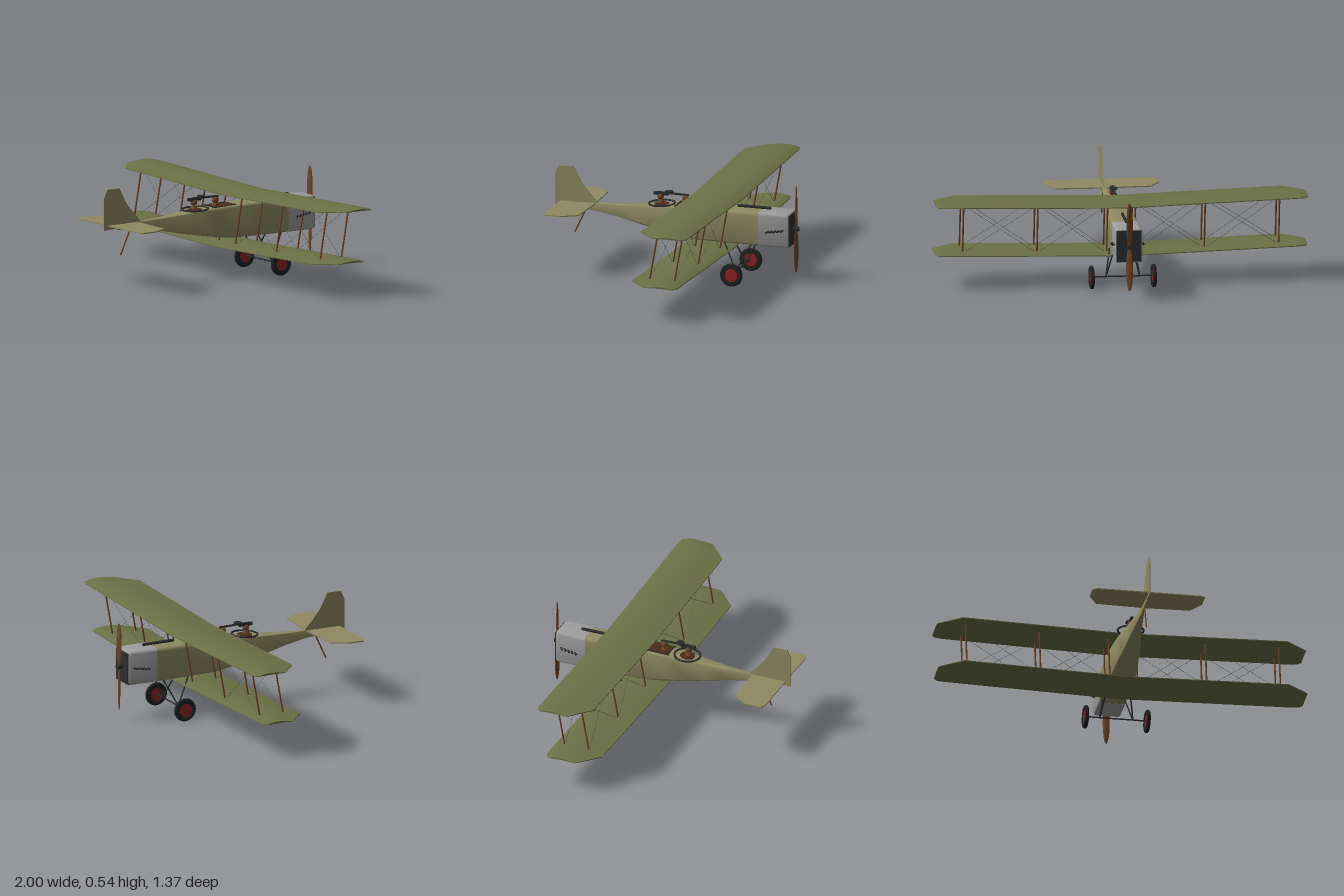
import * as THREE from 'three';
import { toCreasedNormals } from 'three/addons/utils/BufferGeometryUtils.js';

const paint = (color) => new THREE.MeshStandardMaterial({ color });
const MAT = {
  wing: paint(0x6b7146), fabric: paint(0x8f8a62), cowl: paint(0x9c9d9b), dark: paint(0x2b2d2e),
  wood: paint(0x6e4529), rubber: paint(0x1f2122), red: paint(0x8c2222), wire: paint(0x555555), pit: paint(0x4a2c1c),
};
const V = (x, y, z) => new THREE.Vector3(x, y, z);

export function createModel() {
  const model = new THREE.Group();
  const add = (name, geo, mat, pos, parent = model) => {
    const mesh = new THREE.Mesh(geo, mat);
    mesh.name = name;
    if (pos) mesh.position.copy(pos);
    parent.add(mesh);
    return mesh;
  };
  // Round bar between two points
  const bar = (name, a, b, r, mat, sides = 8) => {
    const d = b.clone().sub(a);
    const m = add(name, new THREE.CylinderGeometry(r, r, d.length(), sides), mat, a.clone().add(b).multiplyScalar(0.5));
    m.quaternion.setFromUnitVectors(V(0, 1, 0), d.normalize());
    return m;
  };
  // Closed skin through a row of equal-sized rings
  const loft = (rings, crease = 0.6) => {
    const n = rings[0].length, pos = [], idx = [];
    const center = (r) => r.reduce((s, p) => s.add(p), V(0, 0, 0)).divideScalar(n);
    [...rings.flat(), center(rings[0]), center(rings[rings.length - 1])].forEach((p) => pos.push(p.x, p.y, p.z));
    const last = (rings.length - 1) * n, c0 = last + n;
    for (let j = 0; j < n; j++) {
      const k = (j + 1) % n;
      for (let i = 0; i < last; i += n) idx.push(i + j, i + k, i + n + k, i + j, i + n + k, i + n + j);
      idx.push(c0, k, j, c0 + 1, last + j, last + k);
    }
    const g = new THREE.BufferGeometry();
    g.setAttribute('position', new THREE.Float32BufferAttribute(pos, 3));
    g.setIndex(idx);
    return toCreasedNormals(g, crease);
  };
  // Rounded rectangular body section
  const section = ([z, bottom, top, w]) => {
    const ring = [], h = (top - bottom) / 2, r = Math.min(w, h) * 0.25;
    for (let q = 0; q < 4; q++) for (let s = 0; s <= 4; s++) {
      const a = (q + s / 4) * Math.PI / 2;
      const sx = q === 0 || q === 3 ? 1 : -1, sy = q < 2 ? 1 : -1;
      ring.push(V(sx * (w - r) + r * Math.cos(a), (top + bottom) / 2 + sy * (h - r) + r * Math.sin(a), z));
    }
    return ring;
  };

  // Fuselage, cowling and radiator: [z, bottom, top, half width]
  add('fuselage', loft([
    [-0.48, 0.21, 0.394, 0.072], [-0.3, 0.21, 0.393, 0.072], [-0.12, 0.212, 0.388, 0.068], [0, 0.228, 0.384, 0.058],
    [0.1, 0.244, 0.375, 0.047], [0.2, 0.263, 0.365, 0.035], [0.32, 0.288, 0.356, 0.021], [0.45, 0.308, 0.35, 0.008],
    [0.6, 0.317, 0.346, 0.004]].map(section)), MAT.fabric);
  add('cowling', loft([[-0.648, 0.213, 0.391, 0.07], [-0.64, 0.21, 0.396, 0.074], [-0.478, 0.209, 0.396, 0.074]].map(section)), MAT.cowl);
  add('radiator', new THREE.BoxGeometry(0.134, 0.17, 0.008), MAT.dark, V(0, 0.302, -0.65));

  // Cambered wings with clipped tips: [x, leading edge inset, trailing edge inset, thickness]
  const half = [[0, 0, 0, 1], [0.88, 0, 0, 1], [0.955, 0, 0.065, 0.9], [0.985, 0.006, 0.09, 0.75], [1, 0.025, 0.105, 0.55]];
  const stations = [...half.slice(1).reverse().map(([x, ...r]) => [-x, ...r]), ...half];
  const wing = (name, y, lead, trail) => add(name, loft(stations.map(([x, dl, dt, t]) => {
    const ring = [], n = 10, z0 = lead + dl, z1 = trail - dt;
    const at = (u, h) => V(x, y + 0.027 * Math.abs(x) + h, z0 + (z1 - z0) * u);
    for (let i = 0; i <= n; i++) {
      const u = (i / n) ** 1.4;
      ring.push(at(u, t * (0.003 + 0.016 * Math.sin(Math.PI * u ** 0.75))));
    }
    for (let i = n; i >= 0; i--) {
      const u = (i / n) ** 1.4;
      ring.push(at(u, t * (-0.002 + 0.004 * Math.sin(Math.PI * u))));
    }
    return ring;
  })), MAT.wing);
  wing('upperWing', 0.441, -0.37, -0.087);
  wing('lowerWing', 0.165, -0.32, -0.037);

  // Interplane struts and crossed bracing wires
  const rows = [[-0.125, -0.175], [-0.265, -0.315]];
  const foot = (x, r) => V(x, 0.169 + 0.027 * Math.abs(x), r[0]);
  const head = (x, r) => V(x, 0.447 + 0.027 * Math.abs(x), r[1]);
  for (const s of [-1, 1]) for (const r of rows) {
    for (const x of [0.075, 0.45, 0.85]) bar('strut', foot(s * x, r), head(s * x, r), 0.0045, MAT.wood);
    for (const [a, b] of [[0.075, 0.45], [0.45, 0.85]]) {
      bar('bracingWire', foot(s * a, r), head(s * b, r), 0.0009, MAT.wire, 4);
      bar('bracingWire', head(s * a, r), foot(s * b, r), 0.0009, MAT.wire, 4);
    }
  }

  // Tail surfaces
  const plate = (pts, t) => new THREE.ExtrudeGeometry(new THREE.Shape(pts.map(([a, b]) => new THREE.Vector2(a, b))),
    { depth: t, bevelEnabled: false }).translate(0, 0, -t / 2);
  const tail = [[0, 0.46], [0.255, 0.47], [0.305, 0.555], [0.305, 0.642], [0.28, 0.655]];
  add('tailplane', plate([...tail, ...tail.slice(1).reverse().map(([x, z]) => [-x, z])], 0.006).rotateX(Math.PI / 2),
    MAT.fabric, V(0, 0.344, 0));
  add('finAndRudder', plate([[0.44, 0.345], [0.49, 0.4], [0.536, 0.453], [0.562, 0.5], [0.583, 0.541], [0.664, 0.541],
    [0.685, 0.497], [0.685, 0.32], [0.59, 0.326]], 0.006).rotateY(-Math.PI / 2), MAT.fabric);
  bar('tailSkid', V(0, 0.318, 0.51), V(0, 0.18, 0.575), 0.004, MAT.wood);

  // Propeller
  for (const s of [-1, 1]) {
    const blade = add('propellerBlade', new THREE.SphereGeometry(1, 16, 12).scale(0.019, 0.122, 0.006), MAT.wood, V(0, 0.302 + s * 0.12, -0.67));
    blade.rotation.y = s * 0.3;
  }
  bar('propellerHub', V(0, 0.302, -0.65), V(0, 0.302, -0.685), 0.013, MAT.dark, 16);

  // Undercarriage
  const axleZ = -0.36, axleY = 0.065;
  bar('axle', V(-0.17, axleY, axleZ), V(0.17, axleY, axleZ), 0.004, MAT.dark);
  for (const s of [-1, 1]) {
    for (const z of [-0.285, -0.437]) bar('landingLeg', V(s * 0.09, axleY, axleZ), V(s * 0.06, 0.215, z), 0.004, MAT.dark);
    const wheel = new THREE.Group();
    wheel.name = 'wheel';
    wheel.position.set(s * 0.167, 0.063, axleZ);
    wheel.rotation.z = Math.PI / 2;
    const tire = [[0.036, -0.009], [0.055, -0.011], [0.062, -0.006], [0.063, 0], [0.062, 0.006], [0.055, 0.011], [0.036, 0.009], [0.036, -0.009]];
    add('tire', new THREE.LatheGeometry(tire.map(([r, y]) => new THREE.Vector2(r, y)), 32), MAT.rubber, null, wheel);
    add('wheelDisc', new THREE.CylinderGeometry(0.037, 0.037, 0.014, 32), MAT.red, null, wheel);
    model.add(wheel);
    // Exhaust stubs
    for (let i = 0; i < 5; i++) {
      const z = -0.62 + i * 0.02, y = 0.308 - i * 0.003;
      bar('exhaustStub', V(s * 0.068, y, z), V(s * 0.085, y - 0.007, z + 0.014), 0.0055, MAT.dark);
    }
  }

  // Long fairing on the nose deck
  add('noseFairing', new THREE.CapsuleGeometry(0.008, 0.175, 4, 12).rotateX(Math.PI / 2), MAT.dark, V(0, 0.405, -0.435));

  // Cockpits with seats, rear ring and swivelling gun
  add('frontCockpit', new THREE.BoxGeometry(0.09, 0.01, 0.13), MAT.pit, V(0, 0.384, -0.075));
  for (const s of [-1, 1]) bar('cockpitRim', V(s * 0.05, 0.389, -0.15), V(s * 0.046, 0.384, 0), 0.004, MAT.dark);
  for (const z of [-0.145, -0.01]) bar('cockpitRim', V(-0.048, 0.388, z), V(0.048, 0.388, z), 0.004, MAT.dark);
  add('rearCockpit', new THREE.CylinderGeometry(0.04, 0.04, 0.012, 24), MAT.pit, V(0, 0.374, 0.085));
  add('gunRing', new THREE.TorusGeometry(0.07, 0.005, 8, 36).rotateX(Math.PI / 2 + 0.04), MAT.dark, V(0, 0.381, 0.085));
  for (const z of [0.093, -0.047]) {
    bar('gunPost', V(0, 0.37, z), V(0, 0.435, z), 0.007, MAT.wood);
    add('gunPostKnob', new THREE.SphereGeometry(0.018, 14, 10), MAT.wood, V(0, 0.418, z));
    add('gunPostFoot', new THREE.CylinderGeometry(0.012, 0.02, 0.014, 14), MAT.wood, V(0, 0.393, z));
  }
  bar('gunBarrel', V(0, 0.44, 0.1), V(0, 0.437, -0.065), 0.006, MAT.dark);
  add('gunBody', new THREE.BoxGeometry(0.018, 0.016, 0.08), MAT.dark, V(0, 0.434, 0.09));
  add('gunDrum', new THREE.CylinderGeometry(0.022, 0.022, 0.008, 20), MAT.dark, V(0, 0.447, 0.045));
  return model;
}
